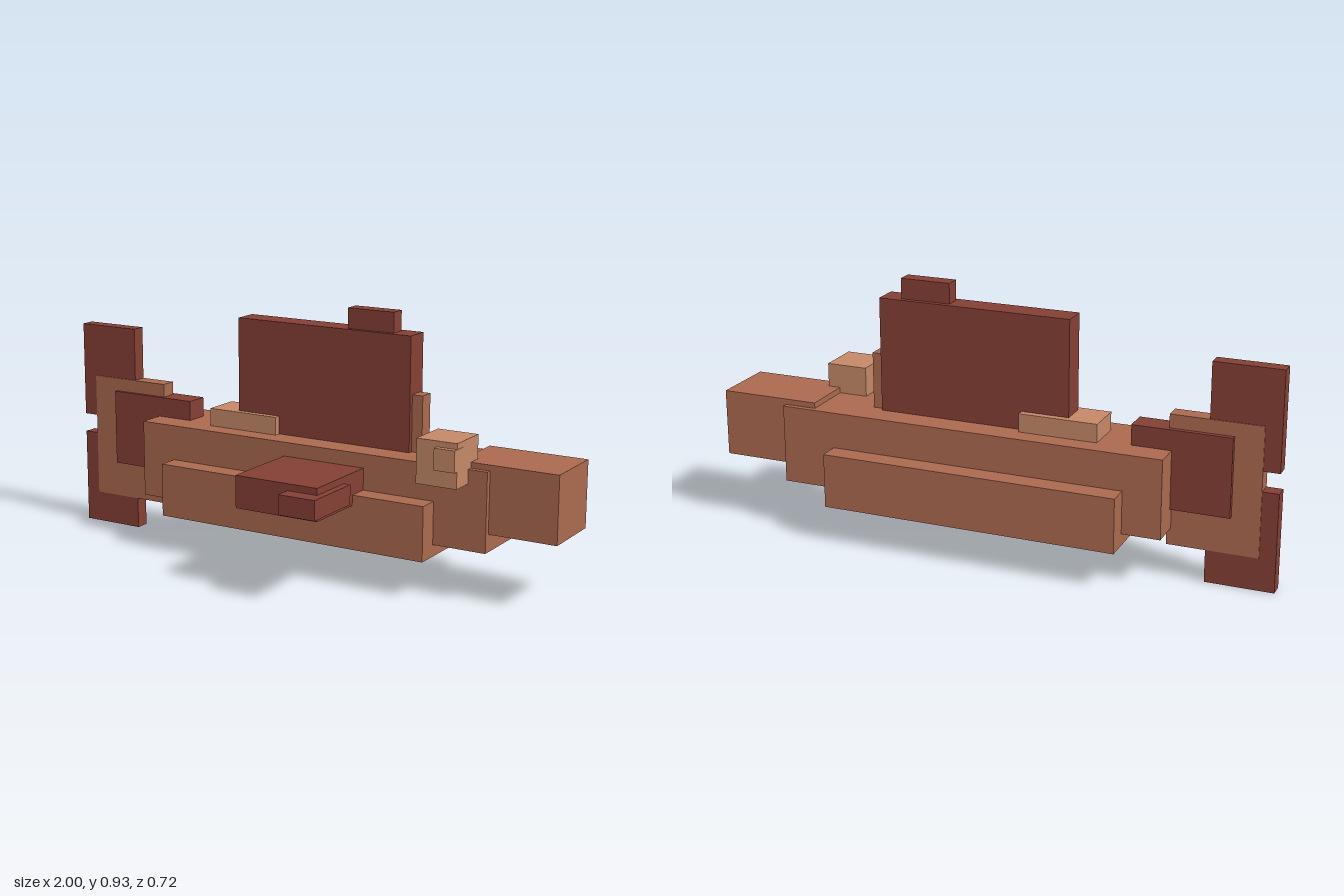
import * as THREE from 'three';

export function createModel() {
  const model = new THREE.Group();
  model.name = 'blockFish';

  const material = (name, color) => {
    const m = new THREE.MeshStandardMaterial({ color });
    m.name = name;
    return m;
  };
  const scales = material('copperScales', 0xaa694e);
  const fins = material('darkRedFins', 0x843f34);
  const pale = material('paleCopper', 0xc48867);

  // Box given by its extents along each axis
  const block = (name, mat, [x0, x1], [y0, y1], [z0, z1]) => {
    const mesh = new THREE.Mesh(new THREE.BoxGeometry(x1 - x0, y1 - y0, z1 - z0), mat);
    mesh.position.set((x0 + x1) / 2, (y0 + y1) / 2, (z0 + z1) / 2);
    mesh.name = name;
    model.add(mesh);
  };

  // Trunk and head
  block('body', scales, [-0.64, 0.755], [0.175, 0.455], [-0.285, -0.005]);
  block('belly', scales, [-0.505, 0.56], [0.133, 0.327], [-0.36, 0.07]);
  block('head', scales, [0.64, 1.0], [0.237, 0.475], [-0.265, -0.025]);
  block('backPatch', pale, [-0.39, -0.11], [0.42, 0.52], [-0.215, -0.077]);

  // Eye on the near side
  block('eye', pale, [0.535, 0.685], [0.405, 0.56], [-0.077, 0.079]);
  block('pupil', pale, [0.61, 0.686], [0.465, 0.54], [0.02, 0.1]);

  // Dorsal fin
  block('dorsalFin', fins, [-0.28, 0.415], [0.44, 0.86], [-0.19, -0.1]);
  block('dorsalTip', fins, [0.16, 0.34], [0.84, 0.932], [-0.172, -0.117]);
  block('dorsalSpine', scales, [0.36, 0.455], [0.43, 0.655], [-0.173, -0.117]);

  // Side fin
  block('sideFin', fins, [-0.03, 0.29], [0.29, 0.405], [-0.02, 0.303]);
  block('sideFinTip', fins, [0.175, 0.315], [0.311, 0.381], [0.128, 0.36]);

  // Tail
  block('tailRoot', fins, [-0.845, -0.5], [0.248, 0.527], [-0.191, -0.105]);
  block('tailPlate', scales, [-0.943, -0.625], [0.116, 0.575], [-0.174, -0.116]);
  block('upperTailLobe', fins, [-1.0, -0.76], [0.42, 0.77], [-0.171, -0.12]);
  block('lowerTailLobe', fins, [-1.0, -0.76], [0, 0.35], [-0.171, -0.12]);

  return model;
}
